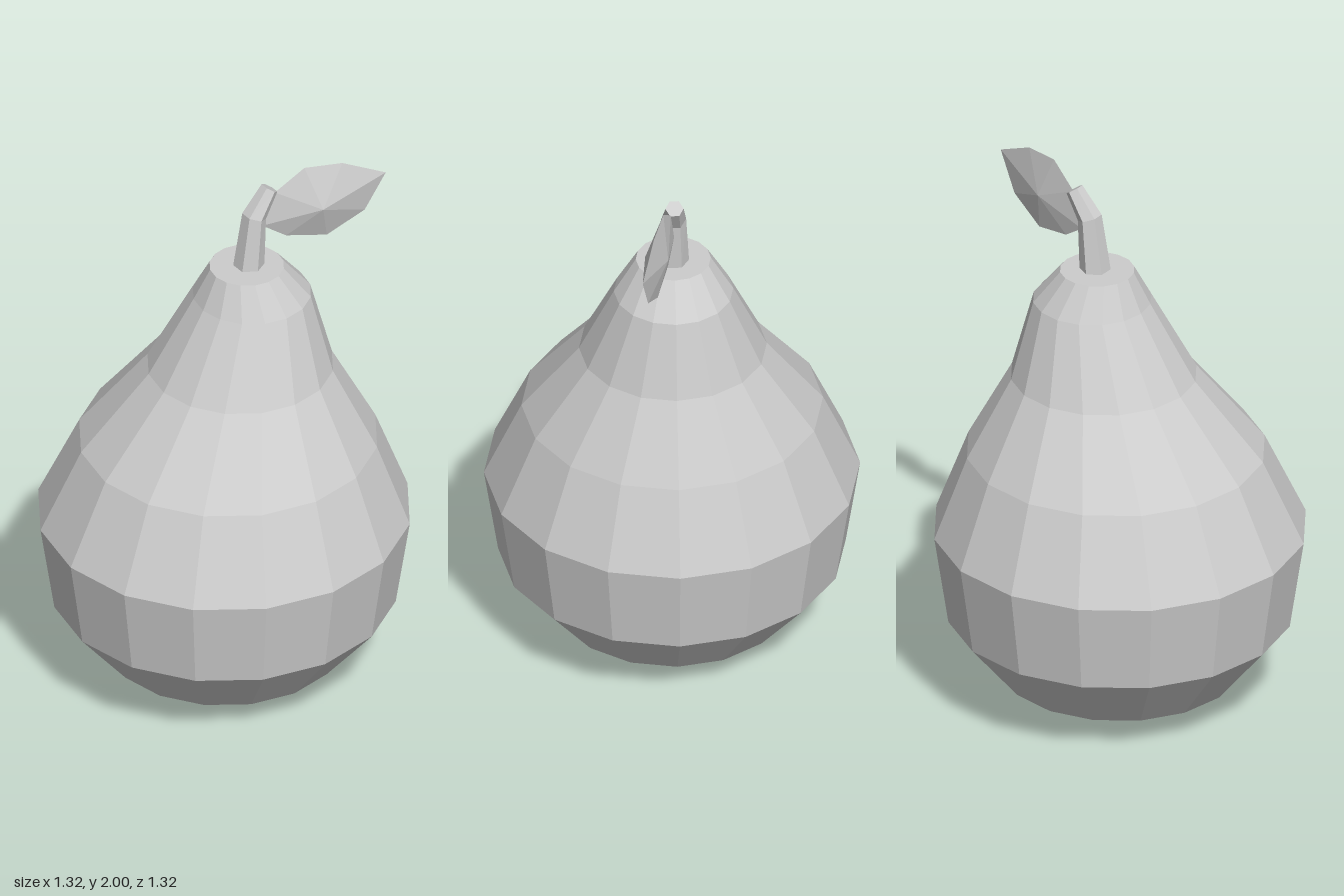
import * as THREE from 'three';

const grey = new THREE.MeshStandardMaterial({ color: 0xcccccc, flatShading: true });
grey.name = 'plain grey';

// Faceted mesh from a list of points and triangles
function facetedMesh(name, points, triangles) {
  const indexed = new THREE.BufferGeometry();
  indexed.setAttribute('position', new THREE.Float32BufferAttribute(points.flat(), 3));
  indexed.setIndex(triangles.flat());
  const geometry = indexed.toNonIndexed();
  geometry.computeVertexNormals();
  const mesh = new THREE.Mesh(geometry, grey);
  mesh.name = name;
  return mesh;
}

// Capped loft through rings [centre x, centre y, radius, tilt about z]
function loft(name, rings, sides, phase = 0) {
  const points = [], triangles = [];
  for (const [cx, cy, r, tilt = 0] of rings) {
    for (let i = 0; i < sides; i++) {
      const a = phase + (i / sides) * Math.PI * 2;
      const u = Math.cos(a) * r;
      points.push([cx + u * Math.cos(tilt), cy + u * Math.sin(tilt), Math.sin(a) * r]);
    }
  }
  const last = (rings.length - 1) * sides;
  const bottom = points.push([rings[0][0], rings[0][1], 0]) - 1;
  const top = points.push([rings.at(-1)[0], rings.at(-1)[1], 0]) - 1;
  for (let i = 0; i < sides; i++) {
    const j = (i + 1) % sides;
    for (let k = 0; k < last; k += sides) {
      triangles.push([k + i, k + sides + i, k + j], [k + j, k + sides + i, k + sides + j]);
    }
    triangles.push([bottom, i, j], [top, last + j, last + i]);
  }
  return facetedMesh(name, points, triangles);
}

// Leaf: a thin lens with a sharp rim and a raised point on each side
function makeLeaf() {
  const rim = [
    [0.165, 1.79], [0.25, 1.73], [0.395, 1.7], [0.53, 1.775],
    [0.605, 1.915], [0.45, 1.99], [0.315, 2.0], [0.21, 1.92],
  ];
  const points = rim.map(([x, y]) => [x, y, (x - 0.165) * 0.295]);
  const front = points.push([0.35, 1.845, 0.11]) - 1;
  const back = points.push([0.375, 1.845, 0.03]) - 1;
  const triangles = [];
  rim.forEach((_, i) => {
    const j = (i + 1) % rim.length;
    triangles.push([front, i, j], [back, j, i]);
  });
  return facetedMesh('leaf', points, triangles);
}

export function createModel() {
  const model = new THREE.Group();
  model.name = 'pear';

  // Fruit body, its neck leaning gently to one side
  model.add(loft('body', [
    [0, 0, 0.16], [0, 0.11, 0.425], [0, 0.335, 0.611], [0, 0.667, 0.661],
    [0.018, 0.97, 0.53], [0.07, 1.25, 0.33], [0.12, 1.53, 0.21], [0.098, 1.65, 0.132],
  ], 16));

  // Bent six-sided stem
  model.add(loft('stem', [
    [0.107, 1.65, 0.055], [0.13, 1.845, 0.044, -0.35], [0.196, 1.938, 0.032, -0.6],
  ], 6, Math.PI / 6));

  model.add(makeLeaf());
  return model;
}
